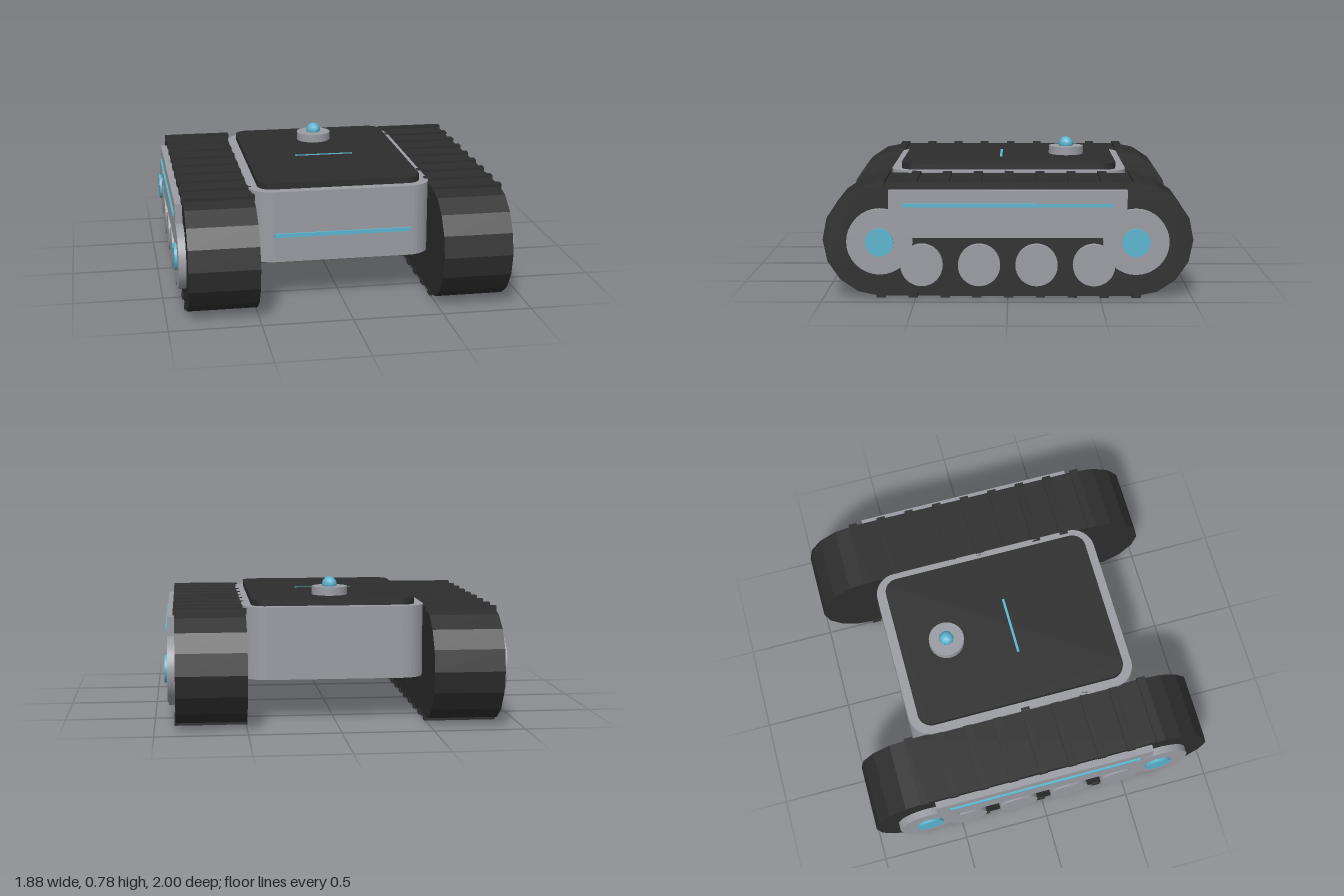
import * as THREE from 'three';

const material = (name, color) => {
  const m = new THREE.MeshStandardMaterial({ color });
  m.name = name;
  return m;
};

// Rounded rectangle outline centred on the origin
function roundedRect(hw, hh, r) {
  const s = new THREE.Shape();
  s.moveTo(hw, -hh + r);
  s.absarc(hw - r, hh - r, r, 0, Math.PI / 2);
  s.absarc(-hw + r, hh - r, r, Math.PI / 2, Math.PI);
  s.absarc(-hw + r, -hh + r, r, Math.PI, Math.PI * 1.5);
  s.absarc(hw - r, -hh + r, r, Math.PI * 1.5, Math.PI * 2);
  return s;
}

export function createModel() {
  const grey = material('metal grey', 0x9a9ca3);
  const black = material('rubber black', 0x2d2d2d);
  const cyan = material('accent cyan', 0x5bb5cf);
  const model = new THREE.Group();
  model.name = 'trackedRover';

  const add = (parent, name, geometry, mat, x = 0, y = 0, z = 0) => {
    const mesh = new THREE.Mesh(geometry, mat);
    mesh.name = name;
    mesh.position.set(x, y, z);
    parent.add(mesh);
    return mesh;
  };
  const box = (x, y, z) => new THREE.BoxGeometry(x, y, z);
  const slab = (hw, hl, r, height, curveSegments) =>
    new THREE.ExtrudeGeometry(roundedRect(hw, hl, r), { depth: height, bevelEnabled: false, curveSegments })
      .rotateX(-Math.PI / 2);
  // Disc whose axis runs sideways
  const disc = (r, width) => new THREE.CylinderGeometry(r, r, width, 32).rotateZ(Math.PI / 2);

  // Hull and deck
  add(model, 'hull', slab(0.51, 0.665, 0.13, 0.405, 4), grey, 0, 0.235, 0);
  add(model, 'deckPanel', slab(0.46, 0.61, 0.08, 0.035, 6), black, 0, 0.64, 0);
  add(model, 'frontLightStrip', box(0.77, 0.022, 0.02), cyan, 0, 0.39, 0.665);
  add(model, 'deckStripe', box(0.34, 0.004, 0.014), cyan, 0, 0.676, 0.045);

  // Sensor on the rear of the deck
  const sensor = new THREE.Group();
  sensor.name = 'sensor';
  sensor.position.set(0, 0.675, -0.34);
  model.add(sensor);
  add(sensor, 'sensorBase', new THREE.CylinderGeometry(0.102, 0.102, 0.047, 24), grey, 0, 0.0235, 0);
  add(sensor, 'sensorLens', new THREE.SphereGeometry(0.044, 8, 6), cyan, 0, 0.058, 0);

  // Track belt outline: straight runs with faceted round ends
  const beltShape = new THREE.Shape();
  const beltPoints = [];
  for (const end of [0, 1]) {
    for (let i = 0; i <= 8; i++) {
      const a = -Math.PI / 2 + end * Math.PI + (i / 8) * Math.PI;
      beltPoints.push(new THREE.Vector2((end ? -0.69 : 0.69) + Math.cos(a) * 0.31, Math.sin(a) * 0.31));
    }
  }
  beltShape.setFromPoints(beltPoints);
  const belt = new THREE.ExtrudeGeometry(beltShape, { depth: 0.385, bevelEnabled: false })
    .translate(0, 0, -0.1925)
    .rotateY(Math.PI / 2);

  for (const s of [1, -1]) {
    const track = new THREE.Group();
    track.name = s > 0 ? 'leftTrack' : 'rightTrack';
    model.add(track);
    add(track, 'belt', belt, black, s * 0.6925, 0.318, 0);

    // Cleats on the upper and lower runs
    for (let i = 0; i < 9; i++) {
      const z = (i - 4) * 0.173 - 0.005;
      add(track, 'upperCleat', box(0.4, 0.03, 0.05), black, s * 0.693, 0.625, z);
      add(track, 'lowerCleat', box(0.4, 0.03, 0.05), black, s * 0.693, 0.015, z);
    }

    // Side plate with its light strip
    add(track, 'sidePlate', box(0.05, 0.257, 1.28), grey, s * 0.9, 0.4635, 0);
    add(track, 'sideLightStrip', box(0.02, 0.018, 1.13), cyan, s * 0.926, 0.513, 0);

    // End wheels with coloured hubs
    for (const z of [-0.69, 0.69]) {
      add(track, 'endWheel', disc(0.178, 0.053), grey, s * 0.9, 0.312, z);
      add(track, 'hubCap', disc(0.076, 0.04), cyan, s * 0.922, 0.312, z);
    }

    // Road wheels
    for (const z of [-0.465, -0.155, 0.155, 0.465]) {
      add(track, 'roadWheel', disc(0.114, 0.049), grey, s * 0.9, 0.184, z);
    }
  }
  return model;
}
